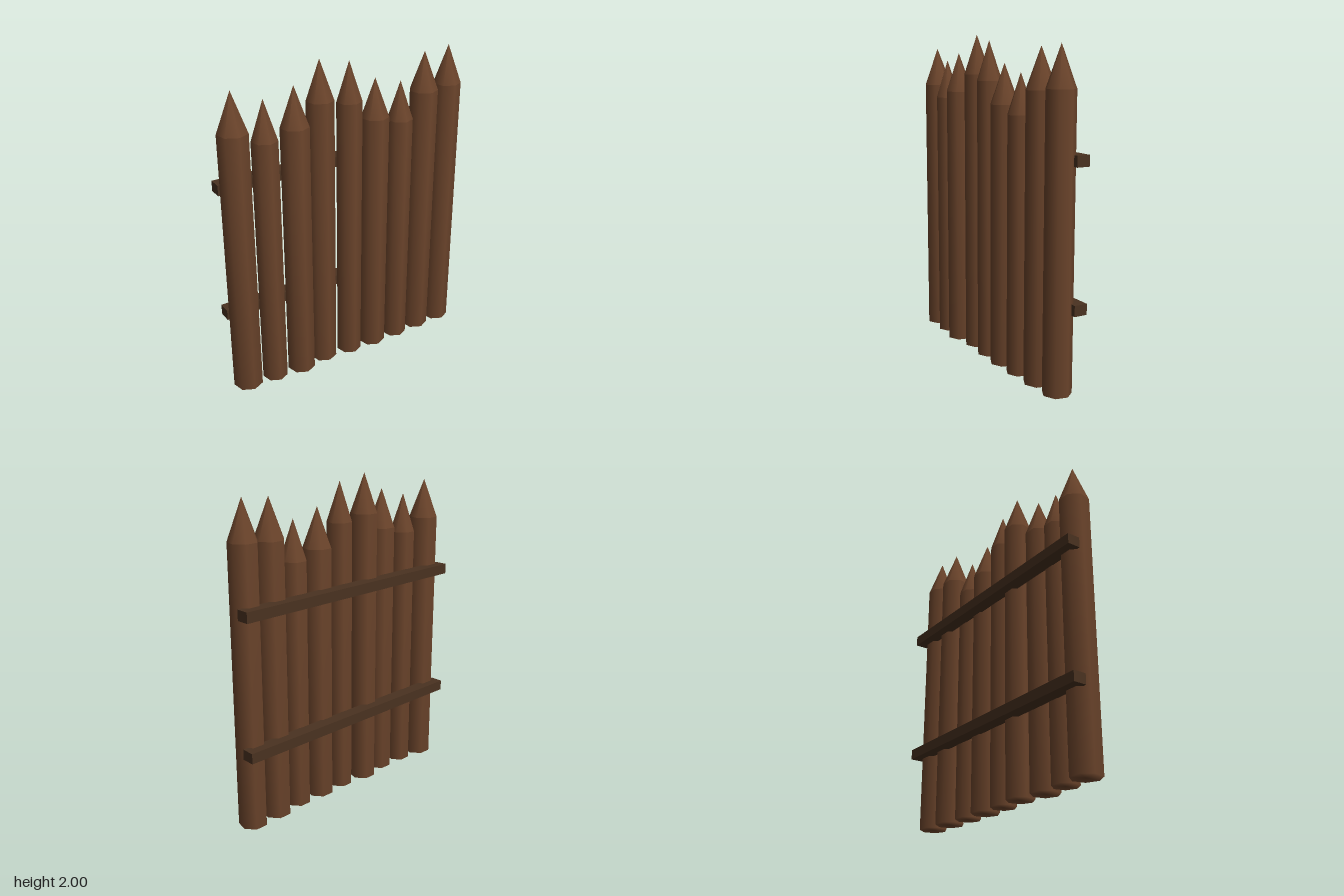
import * as THREE from 'three';

const SIDES = 7;
const TIP = 0.24;

// each stake: x, z, radius, height to the point
const STAKES = [
  [-0.737, 0.008, 0.091, 1.913],
  [-0.555, 0.025, 0.079, 1.838],
  [-0.37, 0.037, 0.087, 1.886],
  [-0.186, 0.007, 0.085, 2.0],
  [0, 0.026, 0.079, 1.966],
  [0.181, 0.026, 0.088, 1.836],
  [0.364, 0.027, 0.081, 1.788],
  [0.549, 0.012, 0.09, 1.936],
  [0.734, 0.007, 0.087, 1.95],
];

export function createModel() {
  const model = new THREE.Group();
  model.name = 'palisadeFence';

  const stakeWood = new THREE.MeshStandardMaterial({ color: 0x6b442b });
  stakeWood.name = 'stakeWood';
  const railWood = new THREE.MeshStandardMaterial({ color: 0x4a3220 });
  railWood.name = 'railWood';

  // sharpened stakes: softly shaded shaft and a pointed tip
  STAKES.forEach(([x, z, r, height], i) => {
    const stake = new THREE.Group();
    stake.name = `stake${i + 1}`;
    stake.position.set(x, 0, z);
    const shoulder = height - TIP;

    const profile = [[0, 0], [r, 0], [r, shoulder], [0, shoulder]]
      .map(([px, py]) => new THREE.Vector2(px, py));
    const shaft = new THREE.Mesh(new THREE.LatheGeometry(profile, SIDES), stakeWood);
    shaft.name = 'shaft';

    const tip = new THREE.Mesh(new THREE.ConeGeometry(r, TIP, SIDES, 1, true), stakeWood);
    tip.name = 'tip';
    tip.position.y = shoulder + TIP / 2;

    stake.add(shaft, tip);
    model.add(stake);
  });

  // two rails across the back
  [['lowerRail', 0.498], ['upperRail', 1.328]].forEach(([name, y]) => {
    const rail = new THREE.Mesh(new THREE.BoxGeometry(1.65, 0.064, 0.082), railWood);
    rail.name = name;
    rail.position.set(0, y, -0.084);
    model.add(rail);
  });

  return model;
}
